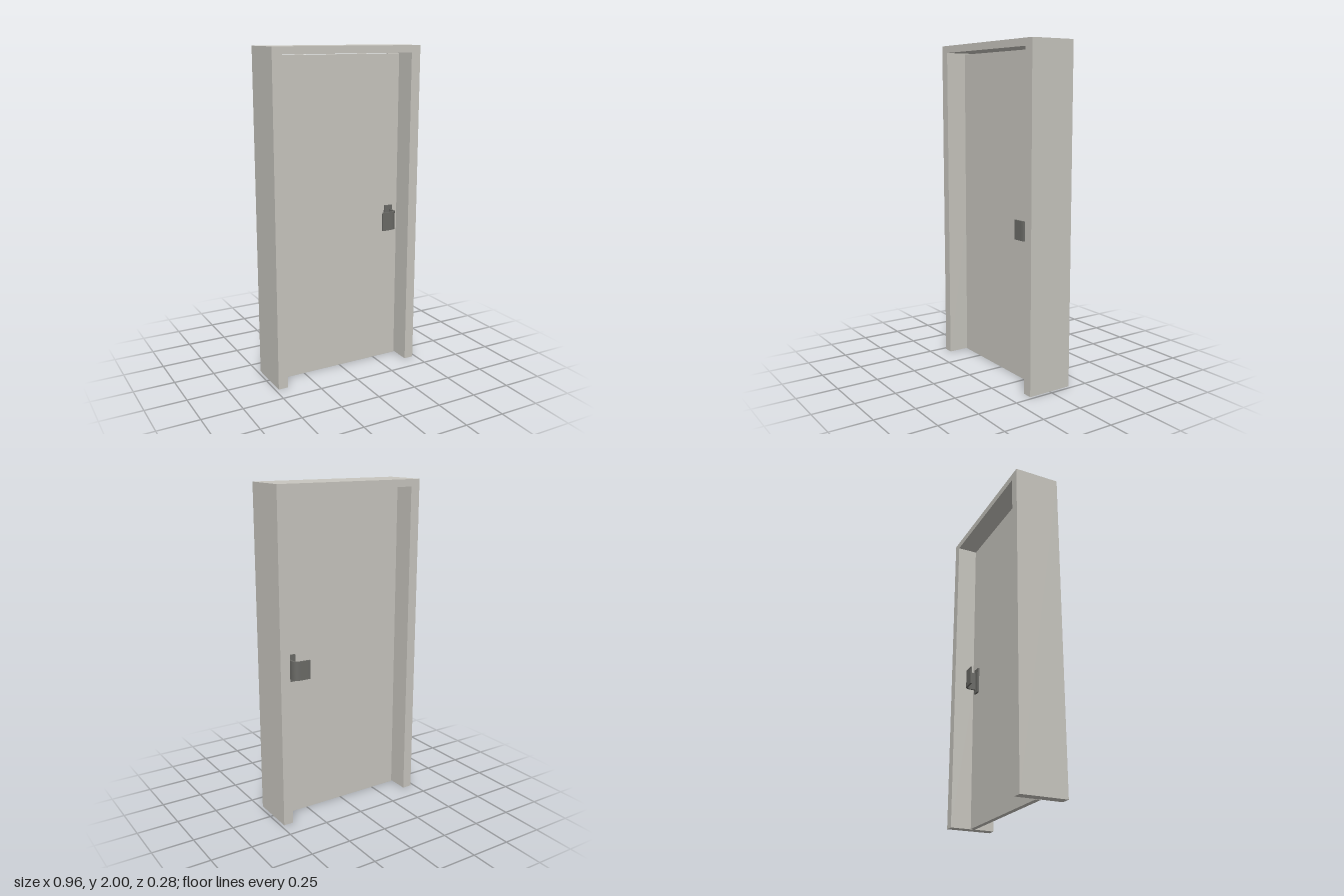
import * as THREE from 'three';
import { toCreasedNormals } from 'three/addons/utils/BufferGeometryUtils.js';

const paint = new THREE.MeshStandardMaterial({ color: 0xc8c6bf });
paint.name = 'warm grey paint';
const metal = new THREE.MeshStandardMaterial({ color: 0x6b6b67 });
metal.name = 'dark metal';

function addMesh(parent, name, geometry, material, x = 0, y = 0, z = 0) {
  const mesh = new THREE.Mesh(geometry, material);
  mesh.name = name;
  mesh.position.set(x, y, z);
  parent.add(mesh);
  return mesh;
}

// Jambs and head as one upside-down U
function frameGeometry() {
  const outline = [[-0.48, 0], [-0.48, 2], [0.48, 2], [0.48, 0],
    [0.42, 0], [0.42, 1.957], [-0.42, 1.957], [-0.42, 0]];
  const shape = new THREE.Shape(outline.map(([x, y]) => new THREE.Vector2(x, y)));
  const geometry = new THREE.ExtrudeGeometry(shape, { depth: 0.28, bevelEnabled: false });
  return geometry.translate(0, 0, -0.14);
}

// Bent lever band, drawn in plan; side is +1 for the front, -1 for the back
function leverGeometry(side) {
  const s = new THREE.Shape();
  s.moveTo(0.365, side * 0.02);
  s.lineTo(0.365, side * 0.06);
  s.bezierCurveTo(0.365, side * 0.082, 0.352, side * 0.098, 0.325, side * 0.098);
  s.lineTo(0.262, side * 0.1);
  s.lineTo(0.262, side * 0.09);
  s.lineTo(0.325, side * 0.087);
  s.bezierCurveTo(0.345, side * 0.087, 0.353, side * 0.077, 0.353, side * 0.06);
  s.lineTo(0.353, side * 0.02);
  const geometry = new THREE.ExtrudeGeometry(s, { depth: 0.115, bevelEnabled: false, curveSegments: 12 });
  geometry.rotateX(Math.PI / 2);
  return toCreasedNormals(geometry, 0.6);
}

export function createModel() {
  const model = new THREE.Group();
  model.name = 'door';
  addMesh(model, 'frame', frameGeometry(), paint);
  addMesh(model, 'doorLeaf', new THREE.BoxGeometry(0.826, 1.95, 0.03), paint, 0, 0.975, 0);

  // Matching handles on both faces
  for (const side of [1, -1]) {
    const handle = new THREE.Group();
    handle.name = side > 0 ? 'frontHandle' : 'backHandle';
    addMesh(handle, 'backplate', new THREE.BoxGeometry(0.055, 0.165, 0.012), metal, 0.3475, 0.933, side * 0.02);
    addMesh(handle, 'lever', leverGeometry(side), metal, 0, 0.99, 0);
    model.add(handle);
  }
  return model;
}
